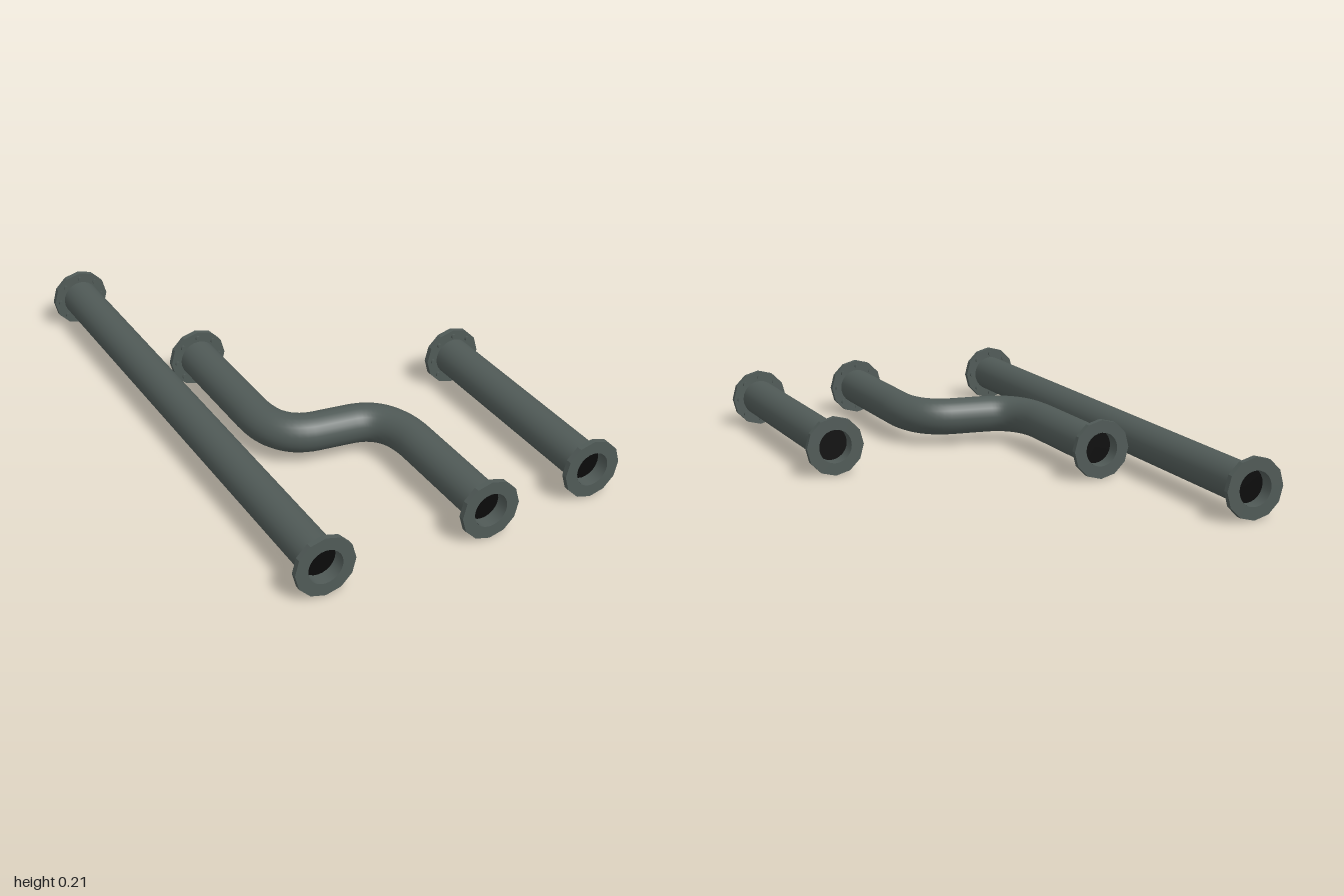
import * as THREE from 'three';

const AXIS_Y = 0.106, PIPE_R = 0.067, BORE_R = 0.06, FLANGE_R = 0.105;
const PLATE = 0.02, BORE_DEPTH = 0.05;

export function createModel() {
  const steel = new THREE.MeshStandardMaterial({ color: 0x505a57, side: THREE.DoubleSide });
  steel.name = 'dark grey steel';
  const black = new THREE.MeshStandardMaterial({ color: 0x0a0a0a });
  black.name = 'black bore';

  const add = (parent, name, geometry, material) => {
    const mesh = new THREE.Mesh(geometry, material);
    mesh.name = name;
    parent.add(mesh);
    return mesh;
  };

  // Twelve-sided flange plate with a round bore
  const outline = new THREE.Shape();
  for (let i = 0; i < 12; i++) {
    const a = i * Math.PI / 6, x = FLANGE_R * Math.cos(a), y = FLANGE_R * Math.sin(a);
    if (i === 0) outline.moveTo(x, y); else outline.lineTo(x, y);
  }
  outline.closePath();
  const hole = new THREE.Path();
  hole.absarc(0, 0, BORE_R, 0, Math.PI * 2, true);
  outline.holes.push(hole);
  const plateGeo = new THREE.ExtrudeGeometry(outline, { depth: PLATE, bevelEnabled: false, curveSegments: 24 });
  plateGeo.translate(0, 0, -PLATE);

  // Bore wall, dark disc behind it, and bolt heads
  const wallGeo = new THREE.CylinderGeometry(BORE_R, BORE_R, BORE_DEPTH, 24, 1, true);
  wallGeo.rotateX(Math.PI / 2).translate(0, 0, -BORE_DEPTH / 2);
  const discGeo = new THREE.CircleGeometry(BORE_R, 24);
  discGeo.translate(0, 0, -BORE_DEPTH);
  const boltGeo = new THREE.CylinderGeometry(0.009, 0.009, 0.01, 6);
  boltGeo.rotateX(Math.PI / 2);

  // Pipe end whose open face looks along +z (or -z when turned)
  function makeEnd(name, x, z, turned) {
    const end = new THREE.Group();
    end.name = name;
    add(end, 'flange', plateGeo, steel);
    add(end, 'boreWall', wallGeo, steel);
    add(end, 'boreDisc', discGeo, black);
    for (let i = 0; i < 8; i++) {
      const a = i * Math.PI / 4;
      add(end, 'bolt', boltGeo, steel).position.set(0.083 * Math.cos(a), 0.083 * Math.sin(a), -PLATE - 0.003);
    }
    end.position.set(x, 0, z);
    if (turned) end.rotation.y = Math.PI;
    return end;
  }

  function makePipe(name, back, front, bodyGeo) {
    const pipe = new THREE.Group();
    pipe.name = name;
    add(pipe, 'pipeBody', bodyGeo, steel);
    pipe.add(makeEnd('backEnd', back[0], back[1], true));
    pipe.add(makeEnd('frontEnd', front[0], front[1], false));
    pipe.position.y = AXIS_Y;
    return pipe;
  }

  function straightPipe(name, x, zBack, zFront) {
    const body = new THREE.CylinderGeometry(PIPE_R, PIPE_R, zFront - zBack - 0.01, 24, 1, true);
    body.rotateX(Math.PI / 2).translate(x, 0, (zBack + zFront) / 2);
    return makePipe(name, [x, zBack], [x, zFront], body);
  }

  // S-shaped pipe: two bends, point-symmetric about its middle
  function bentPipe() {
    const cx = -0.11, cz = 0.315, half = 0.67;
    const p = (x, z) => new THREE.Vector3(cx + x, 0, cz + z);
    const path = new THREE.CurvePath();
    path.add(new THREE.LineCurve3(p(-0.2, -half + 0.005), p(-0.2, -0.215)));
    path.add(new THREE.QuadraticBezierCurve3(p(-0.2, -0.215), p(-0.2, -0.025), p(-0.06, -0.0075)));
    path.add(new THREE.LineCurve3(p(-0.06, -0.0075), p(0.06, 0.0075)));
    path.add(new THREE.QuadraticBezierCurve3(p(0.06, 0.0075), p(0.2, 0.025), p(0.2, 0.215)));
    path.add(new THREE.LineCurve3(p(0.2, 0.215), p(0.2, half - 0.005)));
    const body = new THREE.TubeGeometry(path, 80, PIPE_R, 24, false);
    return makePipe('bentPipe', [cx - 0.2, cz - half], [cx + 0.2, cz + half], body);
  }

  const model = new THREE.Group();
  model.name = 'pipeSet';
  model.add(straightPipe('longPipe', -0.51, -1, 1));
  model.add(bentPipe());
  model.add(straightPipe('shortPipe', 0.51, 0.07, 0.945));
  return model;
}
